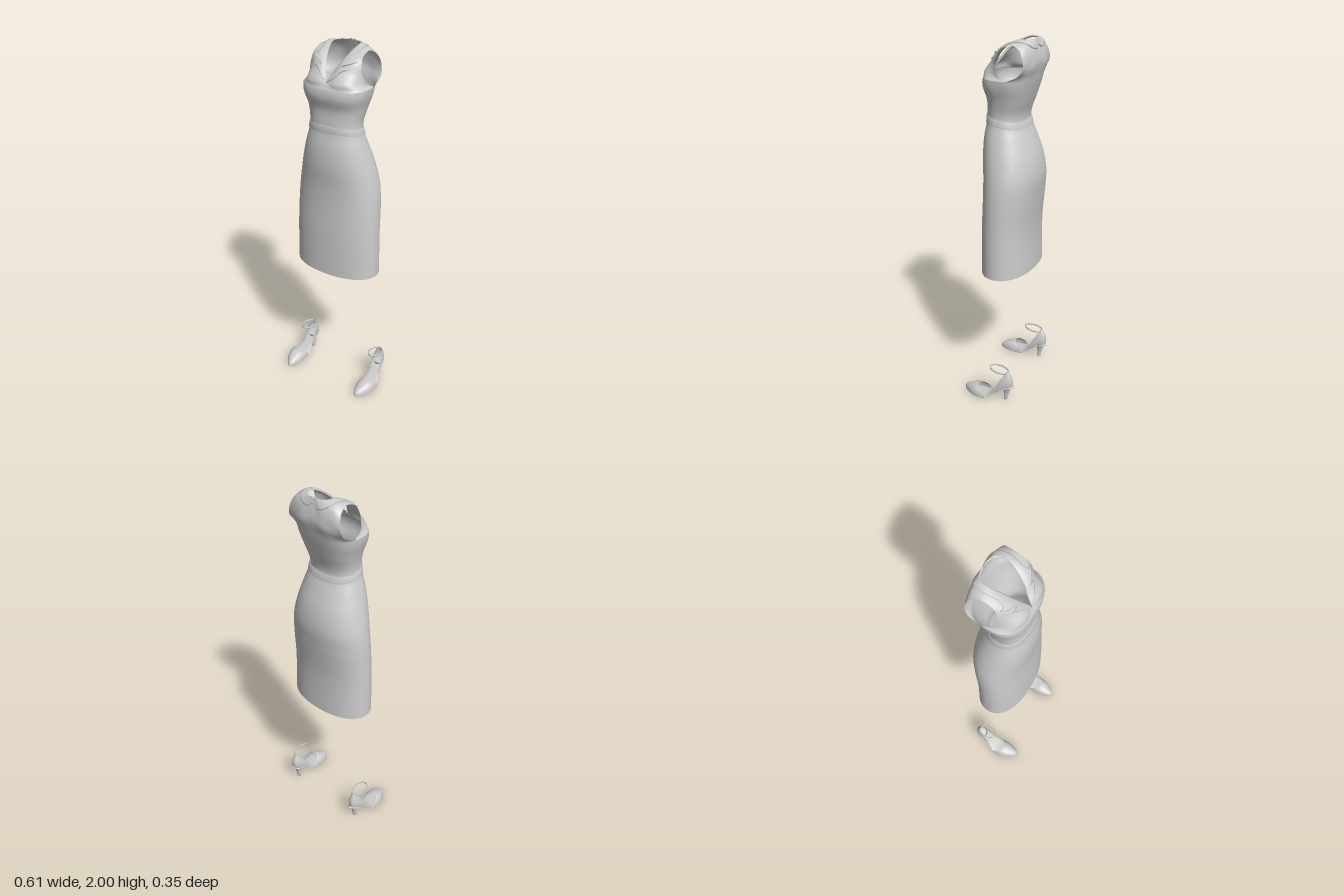
import * as THREE from 'three';
import { mergeVertices } from 'three/addons/utils/BufferGeometryUtils.js';

const material = new THREE.MeshStandardMaterial({ color: 0xcccccc, side: THREE.DoubleSide });
const pw = (v, e) => Math.sign(v) * Math.abs(v) ** e;
const TAU = Math.PI * 2;

// Smooth interpolation of a table whose rows start with their position
function table(rows) {
  const f = new THREE.CubicInterpolant(rows.map(r => r[0]), rows.flatMap(r => r.slice(1)), rows[0].length - 1);
  return t => [...f.evaluate(t)];
}

// Surface sampled on a grid, fn(u, v) with u and v from 0 to 1
function surface(name, nu, nv, fn) {
  const pos = [], index = [];
  for (let j = 0; j <= nv; j++) for (let i = 0; i <= nu; i++) pos.push(...fn(i / nu, j / nv));
  for (let j = 0; j < nv; j++) for (let i = 0; i < nu; i++) {
    const a = j * (nu + 1) + i, b = a + 1, c = a + nu + 1, d = c + 1;
    index.push(a, b, d, a, d, c);
  }
  let geo = new THREE.BufferGeometry();
  geo.setAttribute('position', new THREE.Float32BufferAttribute(pos, 3));
  geo.setIndex(index);
  geo = mergeVertices(geo, 1e-5);
  geo.computeVertexNormals();
  const mesh = new THREE.Mesh(geo, material);
  mesh.name = name;
  return mesh;
}

// Body sections: height, half width, front z, back z, roundness
const body = table([
  [0.755, 0.25, 0.125, -0.153, 0.92], [1.0, 0.246, 0.122, -0.15, 0.92],
  [1.2, 0.238, 0.116, -0.168, 0.92], [1.29, 0.226, 0.118, -0.175, 0.92],
  [1.4, 0.2, 0.126, -0.16, 0.92], [1.5, 0.17, 0.122, -0.125, 0.9],
  [1.58, 0.145, 0.108, -0.095, 0.88], [1.62, 0.141, 0.105, -0.096, 0.86],
  [1.7, 0.155, 0.102, -0.12, 0.8], [1.77, 0.175, 0.119, -0.14, 0.75],
  [1.81, 0.18, 0.114, -0.15, 0.75], [1.86, 0.178, 0.085, -0.16, 0.75],
]);
function ring(y, a, grow = 0) {
  const [w, f, b, e] = body(y);
  return [(w + grow) * pw(Math.sin(a), e), y, (f + b) / 2 + ((f - b) / 2 + grow) * pw(Math.cos(a), e)];
}

// Rows from the neck edge (inner) to the armhole edge (outer), running over the shoulder to the back
const CHEST = 1.81, UNDERARM = 1.75, NU = 20;
const strapRows = [
  [[0.002, 1.84, 0.094], [0.06, 1.84, 0.105], [0.125, 1.84, 0.08], [0.166, 1.84, -0.004]],
  [[0.02, 1.88, 0.062], [0.06, 1.89, 0.07], [0.11, 1.89, 0.053], [0.15, 1.89, 0.015]],
  [[0.042, 1.925, 0.03], [0.07, 1.93, 0.037], [0.108, 1.933, 0.03], [0.143, 1.935, 0.005]],
  [[0.063, 1.97, -0.025], [0.085, 1.969, -0.016], [0.11, 1.967, -0.015], [0.138, 1.963, -0.017]],
  [[0.074, 1.993, -0.075], [0.095, 1.99, -0.075], [0.118, 1.985, -0.072], [0.138, 1.979, -0.07]],
  [[0.06, 1.995, -0.118], [0.09, 1.985, -0.126], [0.12, 1.975, -0.125], [0.148, 1.96, -0.115]],
  [[0.027, 1.995, -0.135], [0.075, 1.96, -0.15], [0.12, 1.945, -0.147], [0.16, 1.925, -0.138]],
  [[0, 1.993, -0.138], [0.06, 1.92, -0.162], [0.12, 1.9, -0.155], [0.168, 1.88, -0.143]],
  [[0, 1.9, -0.164], [0.07, 1.87, -0.164], [0.135, 1.855, -0.145], [0.176, 1.84, -0.12]],
].map(r => table(r.map((p, i) => [i / 3, ...p])));
const rowFns = [
  u => ring(CHEST, u * UNDERARM), ...strapRows,
  u => ring(CHEST, Math.PI - u * (Math.PI - UNDERARM)),
];
const LAST = rowFns.length - 1;
const yoke = (u, s) => table(rowFns.map((f, i) => [i, ...f(u)]))(s);

// Point lifted off the yoke along its normal
function lifted(u, s, h) {
  const V = (a, b) => new THREE.Vector3(...yoke(a, b));
  const u0 = Math.min(Math.max(u, 0.02), 0.95);
  const du = V(u0 + 0.03, s).sub(V(u0 - 0.02, s)), ds = V(u0, s + 0.05).sub(V(u0, s - 0.05));
  return V(u, s).addScaledVector(du.cross(ds).normalize(), h).toArray();
}

function dress() {
  const g = new THREE.Group();
  g.name = 'dress';
  g.add(surface('skirt', 96, 60, (u, v) => ring(0.755 + 0.845 * v, u * TAU)));
  g.add(surface('waistAndBust', 96, 24, (u, v) => ring(1.6 + (CHEST - 1.6) * v, u * TAU)));

  // Waistband, lower at the back
  const band = [[-0.018, 0], [-0.017, 0.004], [0.017, 0.004], [0.018, 0]];
  g.add(surface('waistband', 96, 3, (u, v) => {
    const [dy, out] = band[Math.round(v * 3)], a = u * TAU;
    return ring(1.585 + 0.017 * Math.cos(a) + dy, a, out);
  }));

  // Collar width along the neck edge, with the lapel point and collar point
  const widths = [[1, 0], [1.5, 0.2], [2, 0.34], [2.35, 0.55], [2.5, 0.3], [2.65, 0.28], [3.15, 0.85],
    [3.4, 0.62], [4, 0.52], [5, 0.5], [6, 0.42], [7, 0.3], [8, 0.17], [8.3, 0]];
  const collarWidth = s => {
    const i = Math.max(1, widths.findIndex(w => w[0] >= s - 1e-6)), [s0, w0] = widths[i - 1], [s1, w1] = widths[i];
    return w0 + (w1 - w0) * (s - s0) / (s1 - s0);
  };
  for (const m of [1, -1]) {
    const flip = ([x, y, z]) => [x * m, y, z];
    g.add(surface(m > 0 ? 'leftShoulder' : 'rightShoulder', NU, 80, (u, v) => flip(yoke(u, v * LAST))));
    g.add(surface(m > 0 ? 'leftCollar' : 'rightCollar', 10, 146, (u, v) => {
      const s = 1 + 7.3 * v, edge = u === 0 || u === 1;
      const k = Math.min(Math.max((u - 0.1) / 0.8, 0), 1);
      const p = lifted(k * collarWidth(s), s, edge ? 0 : 0.006);
      return flip([Math.max(p[0], 0), p[1], p[2]]);
    }));
  }
  return g;
}

// Sole: z, centre x, half width, height
const sole = table([
  [-0.13, 0.24, 0.004, 0.09], [-0.12, 0.24, 0.022, 0.09], [-0.1, 0.24, 0.032, 0.086], [-0.06, 0.242, 0.033, 0.07],
  [-0.02, 0.246, 0.035, 0.036], [0.02, 0.252, 0.047, 0.011], [0.05, 0.253, 0.052, 0.006],
  [0.1, 0.25, 0.048, 0.005], [0.15, 0.244, 0.027, 0.005], [0.168, 0.241, 0.013, 0.007], [0.175, 0.24, 0.002, 0.01],
]);
const vampHeight = table([[0.02, 0.05], [0.08, 0.057], [0.12, 0.046], [0.15, 0.032], [0.168, 0.017], [0.175, 0.003]]);
// Heel: height, centre z, half depth, half width
const heelShape = table([
  [0, -0.083, 0.011, 0.012], [0.04, -0.087, 0.014, 0.014], [0.07, -0.09, 0.022, 0.02], [0.1, -0.09, 0.034, 0.031],
]);

function shoe(m) {
  const g = new THREE.Group();
  g.name = m > 0 ? 'leftShoe' : 'rightShoe';
  const add = (name, nu, nv, fn) => g.add(surface(name, nu, nv, (u, v) => {
    const [x, y, z] = fn(u, v);
    return [x * m, y, z];
  }));
  add('sole', 24, 48, (u, v) => {
    const z = -0.13 + 0.305 * v, [xc, w, y] = sole(z), a = u * TAU;
    return [xc + w * Math.cos(a), y + 0.005 * pw(Math.sin(a), 0.5), z];
  });
  // Toe box with a curved opening
  add('toeBox', 28, 24, (u, v) => {
    const a = u * Math.PI, start = 0.082 - 0.057 * Math.cos(a) ** 2;
    const z = start + (0.175 - start) * v, [xc, w, y] = sole(z);
    return [xc + w * pw(Math.cos(a), 0.85), y + vampHeight(z)[0] * pw(Math.sin(a), 0.8), z];
  });
  // Heel cup, tall behind the ankle and falling towards the arch
  add('heelCup', 36, 14, (u, v) => {
    const a = (u - 0.5) * Math.PI, c = Math.max(Math.cos(a), 0), z = -0.015 - 0.107 * c;
    const y = sole(z)[2], bulge = 0.008 * Math.sin(v * Math.PI);
    return [0.242 + (0.034 + bulge * c - 0.008 * v * c) * pw(Math.sin(a), 0.75),
      y + 0.1 * v * c ** 0.85, z - bulge * c + 0.022 * v * v * c];
  });
  add('heel', 24, 16, (u, v) => {
    const y = Math.max(0, (v * 16 - 1) / 15) * 0.1, [zc, rz, rx] = heelShape(y), k = v === 0 ? 0 : 1, a = u * TAU;
    return [0.24 + k * rx * Math.cos(a), y, zc + k * rz * Math.sin(a)];
  });
  // Ankle strap, tilted up towards the front
  add('ankleStrap', 40, 8, (u, v) => {
    const a = u * TAU, b = v * TAU, t = 0.003 * Math.cos(b), s = Math.sin(a);
    return [0.241 + (0.035 + t) * Math.cos(a), 0.189 + 0.008 * s + 0.006 * Math.sin(b), -0.045 + (0.055 + t) * s];
  });
  return g;
}

export function createModel() {
  const model = new THREE.Group();
  model.name = 'dressAndShoes';
  model.add(dress(), shoe(1), shoe(-1));
  return model;
}
